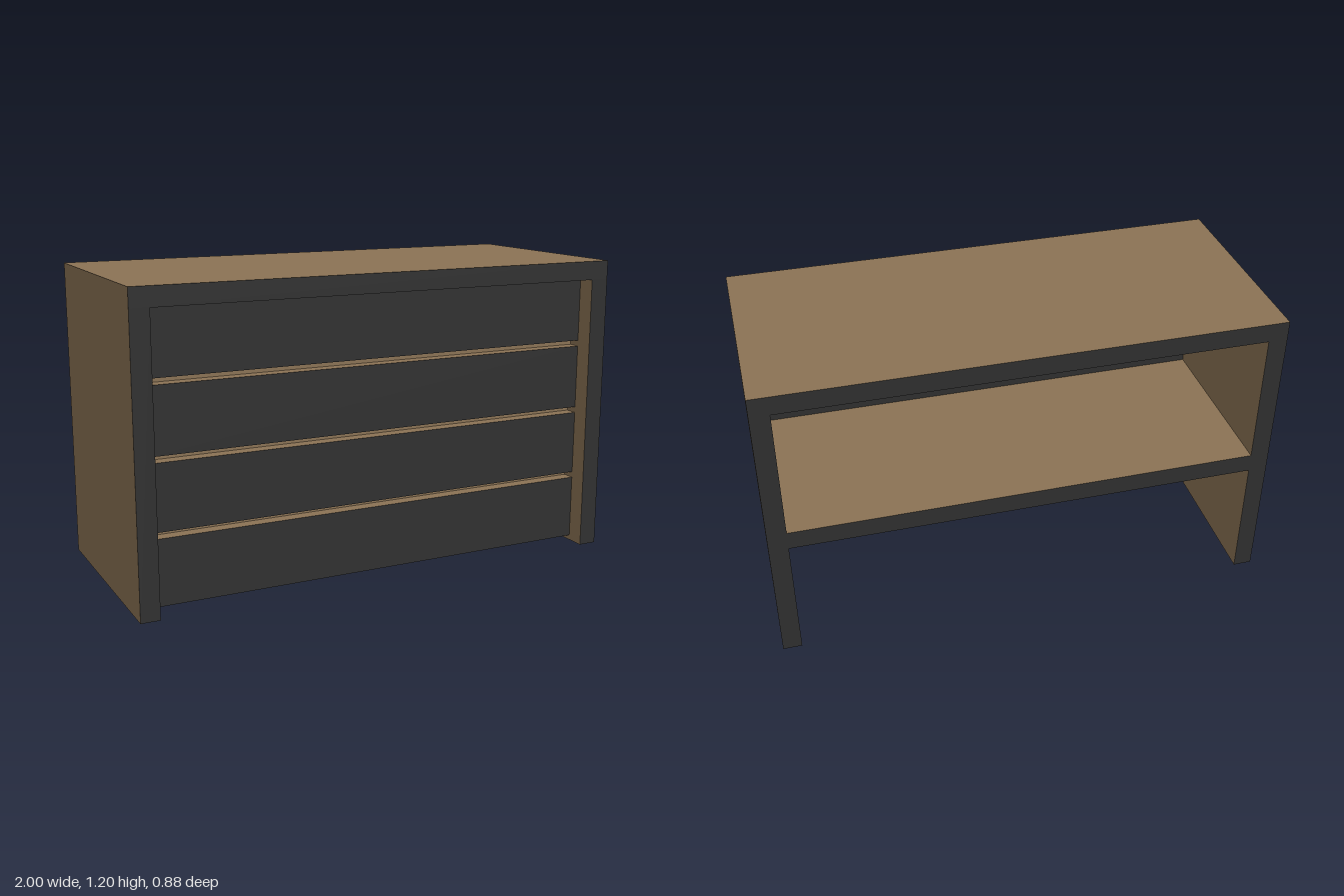
import * as THREE from 'three';

const W = 2, H = 1.2, D = 0.88, T = 0.075;

export function createModel() {
  const desk = new THREE.Group();
  desk.name = 'receptionDesk';

  const wood = new THREE.MeshStandardMaterial({ color: 0x8b7355 });
  wood.name = 'brownWood';
  const dark = new THREE.MeshStandardMaterial({ color: 0x303030 });
  dark.name = 'darkGrey';

  // Board given by its limits on each axis; front and back faces take their own colours
  function board(name, [x0, x1], [y0, y1], [z0, z1], front = dark, back = dark) {
    const geometry = new THREE.BoxGeometry(x1 - x0, y1 - y0, z1 - z0);
    const mesh = new THREE.Mesh(geometry, [wood, wood, wood, wood, front, back]);
    mesh.name = name;
    mesh.position.set((x0 + x1) / 2, (y0 + y1) / 2, (z0 + z1) / 2);
    desk.add(mesh);
  }

  const depth = [-D / 2, D / 2];
  const inner = [-W / 2 + T, W / 2 - T];
  const panelFront = D / 2 - T, panelBack = panelFront - T;
  const grooveZ = panelBack + 0.025;

  // Outer frame: worktop and two full-height sides
  board('worktop', [-W / 2, W / 2], [H - T, H], depth);
  board('leftSide', [inner[1], W / 2], [0, H - T], depth);
  board('rightSide', [-W / 2, inner[0]], [0, H - T], depth);

  // Shelf open to the back
  board('shelf', inner, [0.515, 0.59], [-D / 2, panelBack]);

  // Recessed front panel: wooden backing showing between four dark slats
  const bottom = 0.02, top = H - T, gap = 0.024;
  board('panelBacking', inner, [bottom, top], [panelBack, grooveZ], wood, dark);
  const slat = (top - bottom - 3 * gap) / 4;
  for (let i = 0; i < 4; i++) {
    const y = bottom + i * (slat + gap);
    board('frontSlat' + (i + 1), inner, [y, y + slat], [grooveZ, panelFront]);
  }

  return desk;
}
